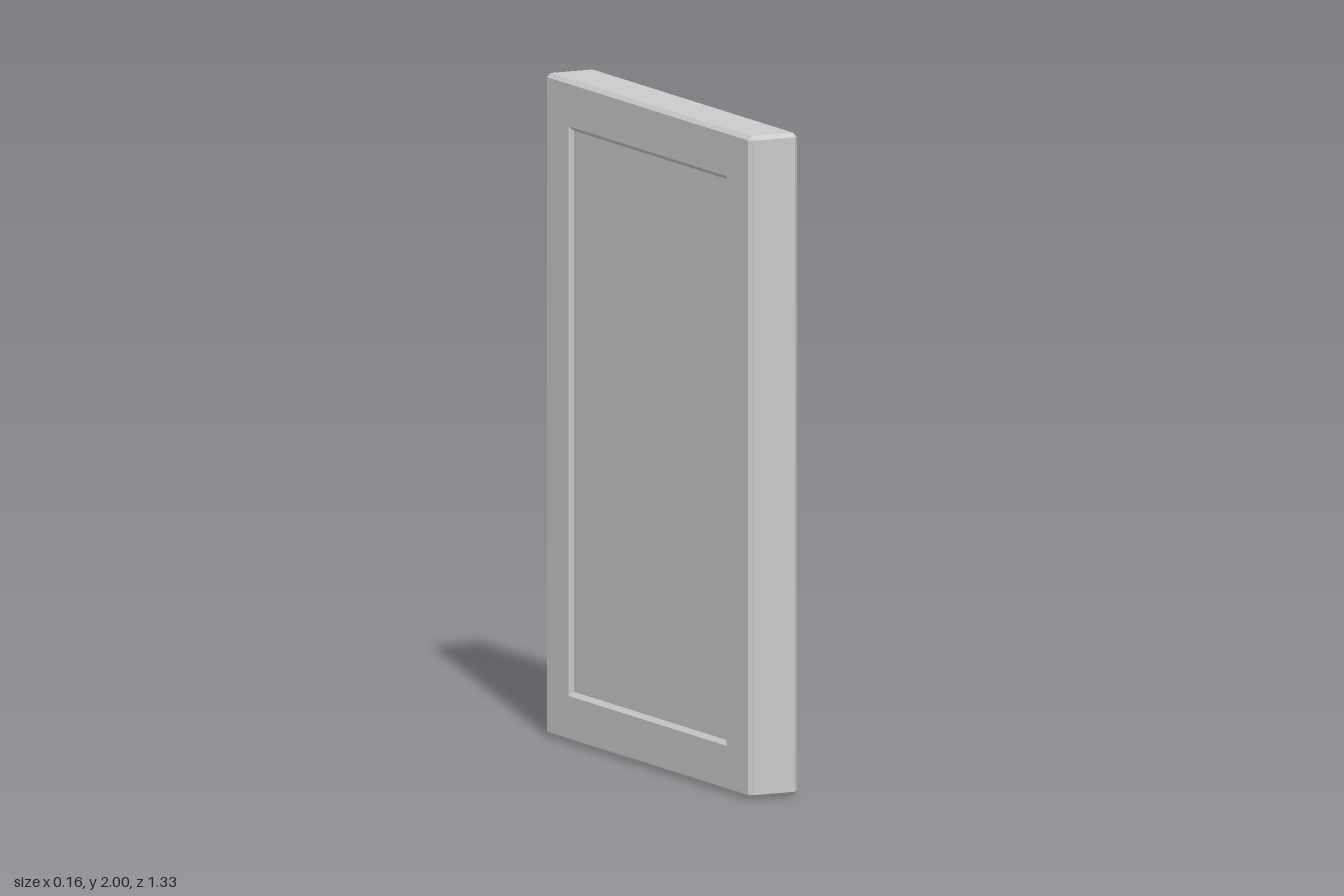
import * as THREE from 'three';

const HX = 0.082, HY = 1, HZ = 0.666; // half sizes of the slab
const BEVEL = 0.012;                  // outer edge chamfer
const RIM_Y = 0.86, RIM_Z = 0.516;    // half sizes of the recess opening
const DEPTH = 0.013;                  // recess depth and wall slope

// Rectangle in the YZ plane with its corners cut, as eight points
function ring(x, hy, hz, cut = 0) {
  return [
    [hz, -hy + cut], [hz, hy - cut], [hz - cut, hy], [-hz + cut, hy],
    [-hz, hy - cut], [-hz, -hy + cut], [-hz + cut, -hy], [hz - cut, -hy],
  ].map(([u, y]) => new THREE.Vector3(x, y, -u));
}

// Joins consecutive rings with flat faces, leaving out collapsed triangles
function loft(rings) {
  const points = [];
  const tri = (a, b, c) => {
    if (new THREE.Triangle(a, b, c).getArea() > 1e-9) points.push(a, b, c);
  };
  for (let k = 0; k < rings.length - 1; k++) {
    const p = rings[k], q = rings[k + 1];
    for (let i = 0; i < 8; i++) {
      const j = (i + 1) % 8;
      tri(p[i], q[i], q[j]);
      tri(p[i], q[j], p[j]);
    }
  }
  const geometry = new THREE.BufferGeometry().setFromPoints(points);
  geometry.computeVertexNormals();
  return geometry;
}

export function createModel() {
  const model = new THREE.Group();
  model.name = 'panelDoor';
  const material = new THREE.MeshStandardMaterial({ color: 0xcccccc, flatShading: true });

  // Frame: recess wall, face and chamfer on one side, then mirrored on the other
  const side = (s) => [
    ring(s * (HX - DEPTH), RIM_Y - DEPTH, RIM_Z - DEPTH),
    ring(s * HX, RIM_Y, RIM_Z),
    ring(s * HX, HY - BEVEL, HZ - BEVEL),
    ring(s * (HX - BEVEL), HY, HZ, BEVEL),
  ];
  const frame = new THREE.Mesh(loft([...side(1), ...side(-1).reverse()]), material);
  frame.name = 'frame';
  frame.position.y = HY;
  model.add(frame);

  // Sunken panel on each face
  for (const [s, name] of [[1, 'leftPanel'], [-1, 'rightPanel']]) {
    const panel = new THREE.Mesh(
      new THREE.PlaneGeometry(2 * (RIM_Z - DEPTH), 2 * (RIM_Y - DEPTH)), material);
    panel.name = name;
    panel.position.set(s * (HX - DEPTH), HY, 0);
    panel.rotation.y = s * Math.PI / 2;
    model.add(panel);
  }
  return model;
}
